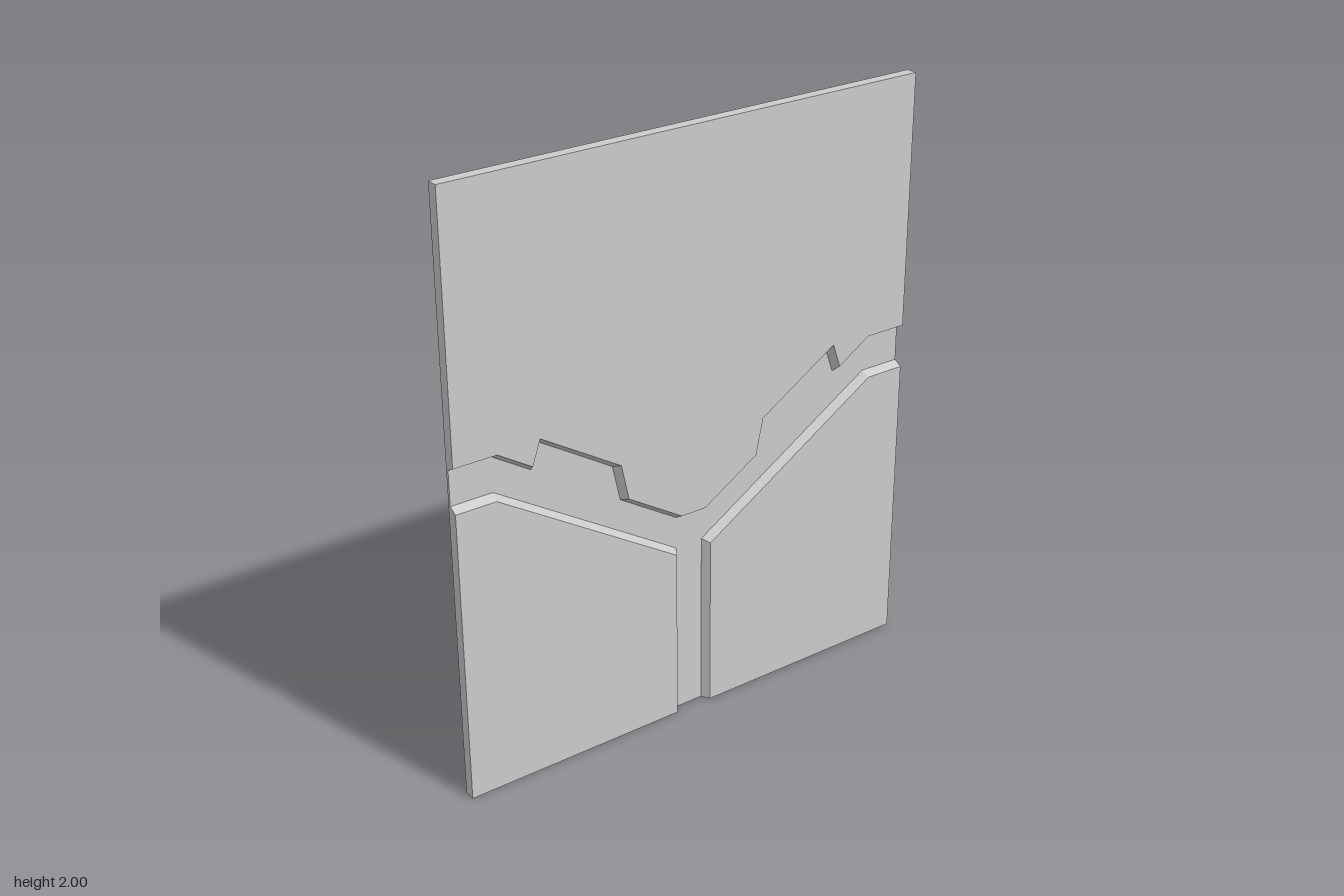
import * as THREE from 'three';

const W = 0.845, H = 2, BACK = -0.019, FLOOR = -0.009, FRONT = 0.019, BEVEL = 0.008;

// Shift an open polyline sideways (to its left) with mitred corners
function offset(pts, d) {
  const normals = pts.slice(1).map((p, i) =>
    new THREE.Vector2(pts[i].y - p.y, p.x - pts[i].x).normalize());
  return pts.map((p, i) => {
    const a = normals[Math.max(i - 1, 0)], b = normals[Math.min(i, normals.length - 1)];
    return p.clone().addScaledVector(a.clone().add(b), d / (1 + a.dot(b)));
  });
}

// Raised plate: sloped along the groove edge, square along the outer corners
function plate(name, edge, corners, material) {
  const low = [...offset(edge, -BEVEL), ...corners];
  const high = [...offset(edge, BEVEL), ...corners];
  const pos = [];
  const put = (p, z) => pos.push(p.x, p.y, z);
  for (const tri of THREE.ShapeUtils.triangulateShape(high, [])) {
    for (const i of tri) put(high[i], FRONT);
  }
  low.forEach((a, i) => {
    const j = (i + 1) % low.length;
    put(a, FLOOR); put(low[j], FLOOR); put(high[j], FRONT);
    put(a, FLOOR); put(high[j], FRONT); put(high[i], FRONT);
  });
  const geo = new THREE.BufferGeometry();
  geo.setAttribute('position', new THREE.Float32BufferAttribute(pos, 3));
  geo.computeVertexNormals();
  const mesh = new THREE.Mesh(geo, material);
  mesh.name = name;
  return mesh;
}

export function createModel() {
  const group = new THREE.Group();
  group.name = 'groovedWallPanel';
  const material = new THREE.MeshStandardMaterial({ color: 0xcccccc, flatShading: true });
  const v = (x, y) => new THREE.Vector2(x, y);
  const mirror = pts => pts.map(p => v(-p.x, p.y)).reverse();

  // Thin backing sheet forming the groove floor
  const backing = new THREE.Mesh(new THREE.BoxGeometry(2 * W, H, FLOOR - BACK), material);
  backing.position.set(0, H / 2, (FLOOR + BACK) / 2);
  backing.name = 'backingSheet';
  group.add(backing);

  // Upper plate with the notched lower edge
  const half = [v(-W, 1.143), v(-0.7, 1.143), v(-0.577, 1.064), v(-0.548, 1.147),
    v(-0.278, 0.977), v(-0.252, 0.854), v(-0.048, 0.725)];
  group.add(plate('upperPlate', [...half, ...mirror(half)], [v(W, H), v(-W, H)], material));

  // Two lower plates either side of the vertical channel
  const left = [v(W, 1.01), v(0.705, 1.01), v(0.058, 0.602), v(0.058, 0)];
  group.add(plate('lowerLeftPlate', left, [v(W, 0)], material));
  group.add(plate('lowerRightPlate', mirror(left), [v(-W, 0)], material));
  return group;
}
